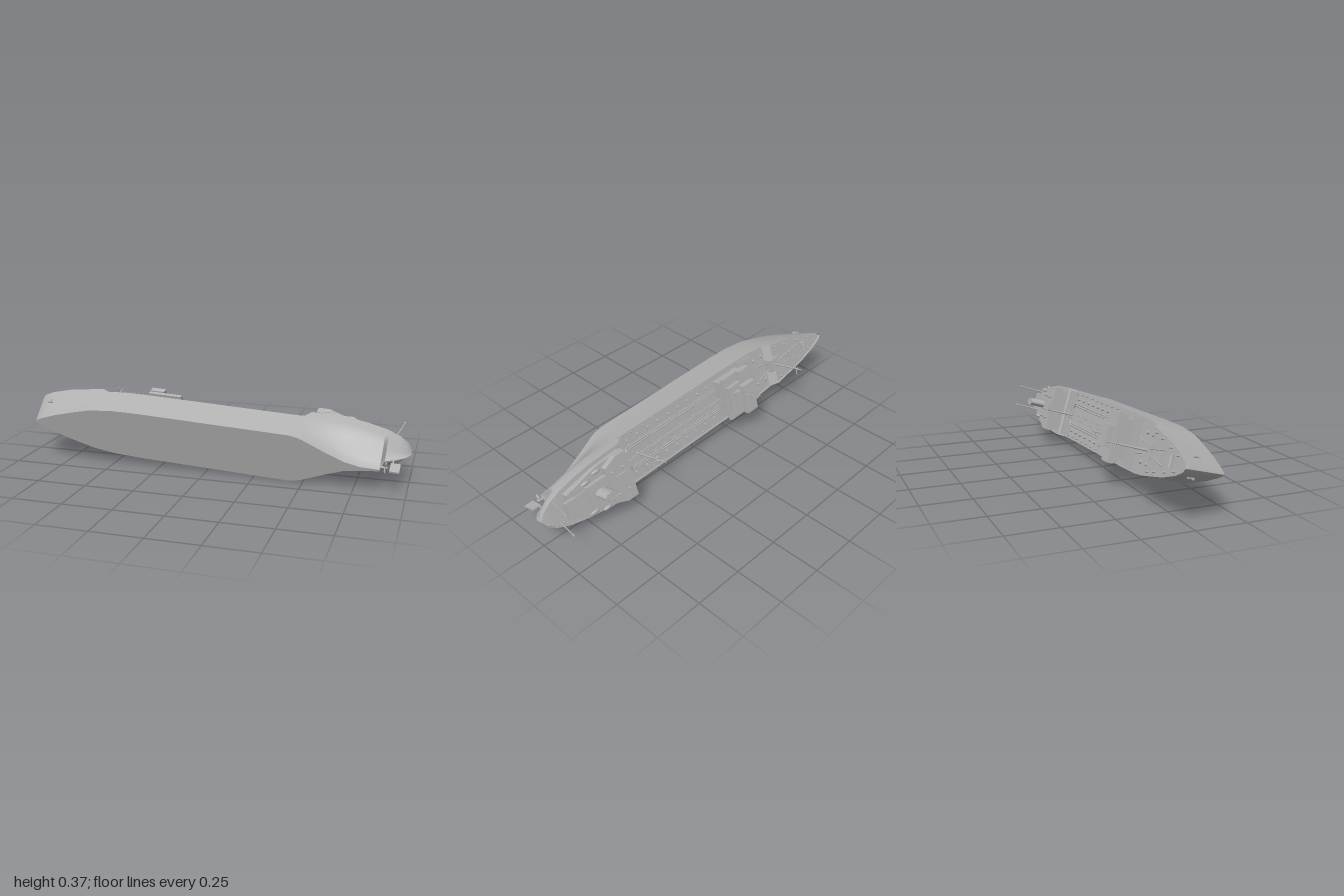
import * as THREE from 'three';
import { toCreasedNormals } from 'three/addons/utils/BufferGeometryUtils.js';

export function createModel() {
  const grey = new THREE.MeshStandardMaterial({ color: 0xb2b2b2 });
  grey.name = 'ship grey';
  grey.side = THREE.DoubleSide;
  const root = new THREE.Group();
  root.name = 'tankerShip';
  const ship = new THREE.Group();
  ship.name = 'heeledShip';
  root.add(ship);

  // Ship frame: x runs aft, y up from the keel, z across the beam.
  const aft = new THREE.Vector3(1, -0.054, 0.01).normalize();
  const across = new THREE.Vector3(0, 0.956, 0.292);
  across.addScaledVector(aft, -across.dot(aft)).normalize();
  const up = new THREE.Vector3().crossVectors(across, aft);
  ship.quaternion.setFromRotationMatrix(new THREE.Matrix4().makeBasis(aft, up, across));
  ship.position.set(0, 0.155, 0.18);

  const add = (name, geo, x = 0, y = 0, z = 0) => {
    const m = new THREE.Mesh(geo, grey);
    m.name = name;
    m.position.set(x, y, z);
    ship.add(m);
    return m;
  };
  const box = (name, x0, x1, y0, y1, half, z = 0) =>
    add(name, new THREE.BoxGeometry(x1 - x0, y1 - y0, half * 2), (x0 + x1) / 2, (y0 + y1) / 2, z);
  const rod = (name, a, b, r, r2 = r, sides = 8) => {
    const p = new THREE.Vector3(...a), d = new THREE.Vector3(...b).sub(p);
    const m = add(name, new THREE.CylinderGeometry(r2, r, d.length(), sides));
    m.position.copy(p).addScaledVector(d, 0.5);
    m.quaternion.setFromUnitVectors(new THREE.Vector3(0, 1, 0), d.normalize());
    return m;
  };
  // Plan outline of [x, half width] pairs, mirrored and raised between two heights
  const slab = (name, pts, y0, y1) => {
    const all = [...pts, ...pts.slice().reverse().map(([x, w]) => [x, -w])];
    const s = new THREE.Shape(all.map(([x, w]) => new THREE.Vector2(x, w)));
    const g = new THREE.ExtrudeGeometry(s, { depth: y1 - y0, bevelEnabled: false });
    g.rotateX(-Math.PI / 2);
    return add(name, g, 0, y0, 0);
  };

  // Hull stations: keel x, deck x, bottom half, deck half, bottom y, top y, 1 = wineglass section
  const stations = [
    [-0.93, -1.0, 0, 0, 0, 0.23, 0],
    [-0.925, -0.985, 0.007, 0.02, 0, 0.229, 0],
    [-0.89, -0.93, 0.025, 0.046, 0, 0.227, 0],
    [-0.81, -0.82, 0.056, 0.079, 0, 0.224, 0],
    [-0.7, -0.7, 0.09, 0.101, 0, 0.22, 0],
    [-0.62, -0.62, 0.112, 0.116, 0, 0.217, 0],
    [-0.58, -0.58, 0.119, 0.122, 0, 0.187, 0],
    [-0.48, -0.48, 0.131, 0.132, 0, 0.185, 0],
    [-0.35, -0.35, 0.135, 0.135, 0, 0.184, 0],
    [0.43, 0.43, 0.134, 0.135, 0, 0.184, 1],
    [0.47, 0.47, 0.128, 0.135, 0, 0.186, 1],
    [0.5, 0.5, 0.117, 0.135, 0, 0.23, 1],
    [0.6, 0.6, 0.07, 0.133, 0, 0.232, 1],
    [0.7, 0.7, 0.027, 0.127, 0, 0.232, 1],
    [0.78, 0.78, 0.011, 0.116, 0, 0.23, 1],
    [0.87, 0.87, 0.004, 0.095, 0.01, 0.227, 1],
    [0.885, 0.885, 0.004, 0.09, 0.085, 0.226, 1],
    [0.94, 0.94, 0.004, 0.066, 0.112, 0.224, 1],
    [0.98, 0.98, 0.003, 0.037, 0.14, 0.22, 1],
    [1.0, 1.0, 0, 0, 0.175, 0.215, 1],
  ];
  const steps = 10, verts = [], index = [];
  let ring = 0;
  for (const [xB, xD, b, d, yB, yD, glass] of stations) {
    const side = [[xB, yB, 0]];
    for (let k = 0; k <= steps; k++) {
      const t = k / steps, u = Math.min(1, t / 0.75);
      const f = glass ? u * u * (3 - 2 * u) : t;
      side.push([xB + (xD - xB) * t, yB + (yD - yB) * t, b + (d - b) * f]);
    }
    const inner = Math.max(0, d - 0.004);
    side.push([xD, yD, inner], [xD, yD - 0.01, inner], [xD, yD - 0.01, 0]);
    const loop = [...side, ...side.slice(0, -1).reverse().map(([x, y, z]) => [x, y, -z])];
    ring = loop.length;
    loop.forEach(p => verts.push(...p));
  }
  for (let i = 0; i < stations.length - 1; i++)
    for (let j = 0; j < ring - 1; j++) {
      const a = i * ring + j, c = a + ring;
      index.push(a, c, a + 1, a + 1, c, c + 1);
    }
  const hull = new THREE.BufferGeometry();
  hull.setAttribute('position', new THREE.Float32BufferAttribute(verts, 3));
  hull.setIndex(index);
  add('hull', toCreasedNormals(hull, 0.5));

  // Midship bridge house
  box('bridgeLowerHouse', -0.36, -0.19, 0.17, 0.235, 0.1);
  box('bridgeDeck', -0.37, -0.19, 0.232, 0.25, 0.118);
  box('bridgeWings', -0.365, -0.29, 0.25, 0.28, 0.124);
  box('bridgeAftHouse', -0.29, -0.2, 0.25, 0.275, 0.07);
  box('wheelhouse', -0.355, -0.265, 0.28, 0.315, 0.055);
  box('chartHouse', -0.265, -0.225, 0.275, 0.296, 0.035);
  rod('bridgeMast', [-0.285, 0.31, 0], [-0.285, 0.355, 0], 0.003);
  rod('bridgeYard', [-0.285, 0.342, -0.02], [-0.285, 0.342, 0.02], 0.002);
  for (let i = -5; i <= 5; i++)
    box('bridgeWindow', -0.368, -0.364, 0.262, 0.273, 0.006, i * 0.02);

  // Aft house, boat deck and funnel
  slab('poopHouse', [[0.52, 0.112], [0.68, 0.105], [0.86, 0.068]], 0.215, 0.252);
  slab('boatDeck', [[0.52, 0.125], [0.68, 0.115], [0.83, 0.08]], 0.25, 0.262);
  slab('aftBridge', [[0.52, 0.124], [0.58, 0.124], [0.65, 0.095]], 0.26, 0.294);
  box('engineCasing', 0.64, 0.77, 0.26, 0.286, 0.06);
  box('sternHouse', 0.76, 0.89, 0.25, 0.27, 0.045);
  box('skylight', 0.55, 0.61, 0.294, 0.303, 0.03);
  const funnel = add('funnel', new THREE.CylinderGeometry(0.02, 0.021, 0.085, 24), 0.7, 0.322, 0);
  funnel.scale.x = 1.7;
  const rim = add('funnelRim', new THREE.TorusGeometry(0.02, 0.002, 6, 24).rotateX(Math.PI / 2), 0.7, 0.364, 0);
  rim.scale.x = 1.7;

  // Lifeboats, vents and portholes on both sides
  for (const s of [-1, 1]) {
    for (const x of [0.69, 0.76]) {
      const boat = add('lifeboat', new THREE.SphereGeometry(0.01, 12, 8), x, 0.272, s * (0.1 - (x - 0.69) * 0.3));
      boat.scale.set(2.6, 0.9, 1);
    }
    for (let i = 0; i < 7; i++)
      box('porthole', 0.54 + i * 0.02, 0.548 + i * 0.02, 0.233, 0.24, 0.002, s * (0.112 - i * 0.0012));
    for (const x of [0.56, 0.62])
      rod('ventilator', [x, 0.29, s * 0.06], [x, 0.312, s * 0.06], 0.005);

    // Kingposts at the stern
    rod('sternPost', [0.915, 0.215, s * 0.056], [0.945, 0.36, s * 0.056], 0.004, 0.003);
    rod('postHead', [0.944, 0.356, s * 0.056], [0.946, 0.364, s * 0.056], 0.006);

    // Cargo pipes, hatches and bollards along the main deck
    for (const z of [0.05, 0.062]) {
      rod('cargoPipe', [-0.18, 0.185, s * z], [0.44, 0.185, s * z], 0.0035);
      rod('pipeBend', [0.44, 0.185, s * z], [0.48, 0.185, s * (z - 0.03)], 0.0035);
    }
    for (let i = 0; i < 9; i++) {
      const x = -0.14 + i * 0.07;
      rod('tankHatch', [x, 0.17, s * 0.09], [x, 0.186, s * 0.09], 0.008, 0.008, 10);
      box('pipeSupport', x - 0.004, x + 0.004, 0.17, 0.184, 0.012, s * 0.056);
      rod('bollard', [x + 0.03, 0.17, s * 0.12], [x + 0.03, 0.186, s * 0.12], 0.004);
    }
    for (const [x, z, y] of [[-0.9, 0.035, 0.213], [-0.82, 0.055, 0.211], [-0.72, 0.075, 0.208], [-0.65, 0.09, 0.205], [0.9, 0.06, 0.213]])
      rod('mooringBitt', [x, y, s * z], [x, y + 0.018, s * z], 0.005);

    // Anchor
    rod('anchorShank', [-0.908, 0.155, s * 0.047], [-0.9, 0.128, s * 0.047], 0.004);
    box('anchorFlukes', -0.912, -0.886, 0.123, 0.13, 0.005, s * 0.047);
  }

  // Raised catwalk
  box('catwalk', -0.2, 0.52, 0.204, 0.209, 0.012);
  for (let i = 0; i < 15; i++)
    box('catwalkLeg', -0.17 + i * 0.045, -0.167 + i * 0.045, 0.17, 0.205, 0.01);
  for (const s of [-1, 1]) rod('catwalkRail', [-0.19, 0.222, s * 0.012], [0.52, 0.222, s * 0.012], 0.0015);

  // Slatted rack ahead of the bridge and steps ahead of the poop
  for (let i = 0; i < 7; i++) {
    box('rackSlat', -0.46 + i * 0.013, -0.455 + i * 0.013, 0.196, 0.202, 0.118);
    for (const s of [-1, 1]) box('rackPost', -0.46 + i * 0.013, -0.457 + i * 0.013, 0.172, 0.216, 0.002, s * 0.117);
  }
  for (let i = 0; i < 3; i++) box('poopStep', 0.455 + i * 0.014, 0.5, 0.17, 0.188 + i * 0.013, 0.128);

  // Forward mast with crosstree and derricks
  rod('foremast', [-0.62, 0.175, 0], [-0.605, 0.42, 0], 0.006, 0.003);
  rod('crosstree', [-0.608, 0.375, -0.035], [-0.608, 0.375, 0.035], 0.003);
  box('mastTop', -0.614, -0.602, 0.385, 0.39, 0.006);
  for (const s of [-1, 1]) {
    rod('derrick', [-0.63, 0.22, s * 0.01], [-0.8, 0.228, s * 0.035], 0.003);
    rod('aftDerrick', [-0.61, 0.2, s * 0.01], [-0.48, 0.205, s * 0.04], 0.003);
  }
  box('mastHouse', -0.65, -0.58, 0.175, 0.222, 0.035);
  box('foreHatch', -0.76, -0.72, 0.205, 0.222, 0.018);
  box('windlass', -0.87, -0.84, 0.21, 0.228, 0.022);
  rod('windlassDrum', [-0.855, 0.226, -0.03], [-0.855, 0.226, 0.03], 0.007, 0.007, 12);
  for (const s of [-1, 1]) for (const x of [-0.56, -0.5])
    rod('foreTankHatch', [x, 0.172, s * 0.07], [x, 0.188, s * 0.07], 0.009, 0.009, 10);

  // Main mast
  rod('mainMast', [0.385, 0.172, 0], [0.385, 0.395, 0], 0.006, 0.003);
  rod('mainCrosstree', [0.385, 0.35, -0.022], [0.385, 0.35, 0.022], 0.003);
  rod('mainGaff', [0.375, 0.365, 0], [0.4, 0.335, 0], 0.003);

  // Propeller and rudder
  rod('propellerShaft', [0.85, 0.04, 0], [0.905, 0.04, 0], 0.006, 0.005, 12);
  for (let i = 0; i < 4; i++) {
    const blade = add('propellerBlade', new THREE.SphereGeometry(0.016, 12, 8).scale(0.12, 1, 0.5).rotateY(0.5).translate(0, 0.018, 0), 0.894, 0.04, 0);
    blade.rotation.x = i * Math.PI / 2 + 0.3;
  }
  box('rudder', 0.915, 0.962, 0.01, 0.08, 0.004);
  rod('rudderStock', [0.925, 0.07, 0], [0.925, 0.125, 0], 0.005);
  return root;
}
